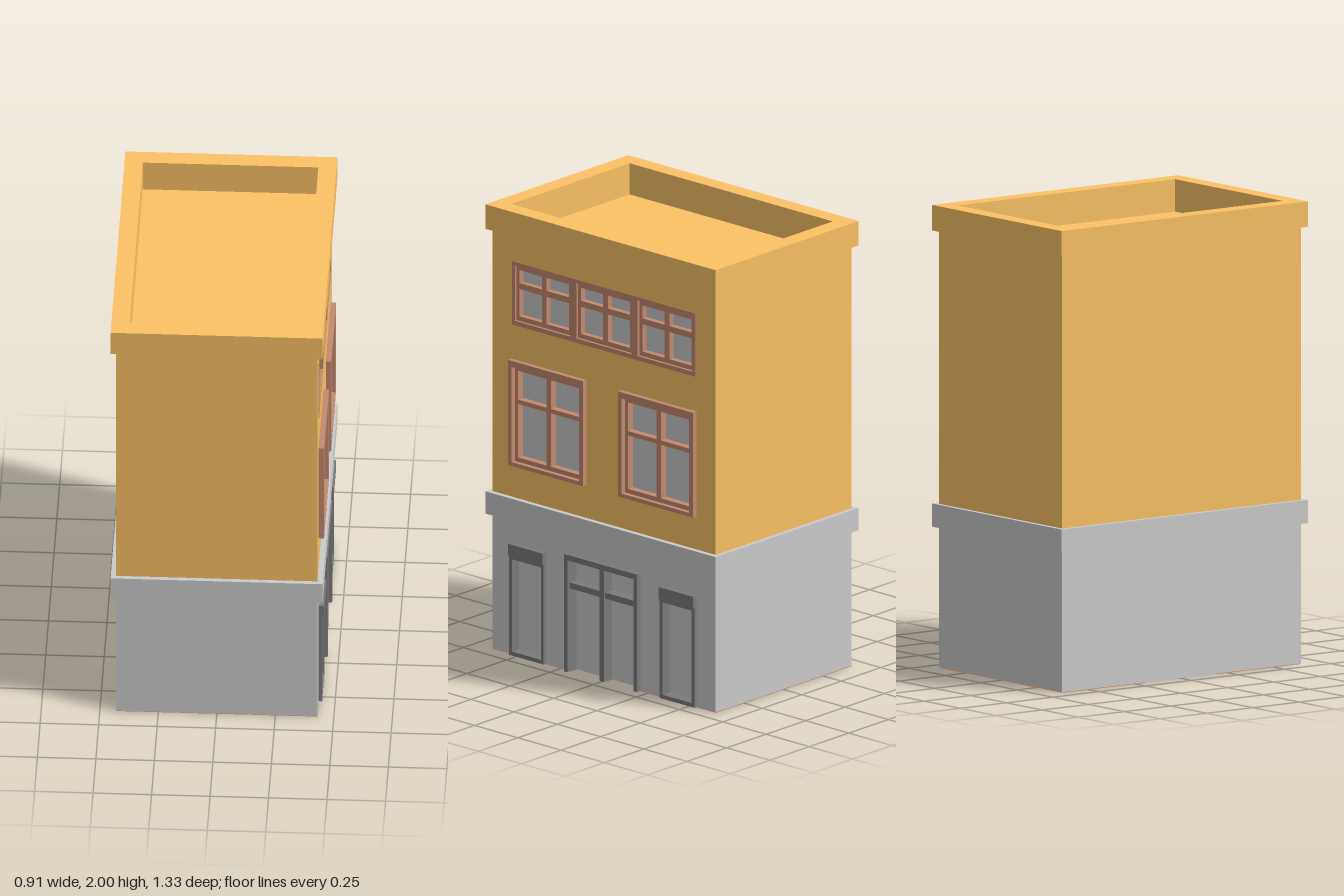
import * as THREE from 'three';

const mat = (color) => new THREE.MeshStandardMaterial({ color, side: THREE.DoubleSide, flatShading: true });
const yellow = mat(0xfbc265), grey = mat(0xcccccc), dark = mat(0x7c7c7c);
const brown = mat(0xc58b70), floorBrown = mat(0xb5683f);

// Rectangles are [z0, z1, y0, y1] on the street side
const corners = ([a, b, c, d]) => [[a, c], [b, c], [b, d], [a, d]];
const toPoints = (list) => list.map(([z, y]) => new THREE.Vector2(-z, y));

export function createModel() {
  const building = new THREE.Group();
  building.name = 'building';

  const add = (parent, name, geometry, material) => {
    const mesh = new THREE.Mesh(geometry, material);
    mesh.name = name;
    parent.add(mesh);
    return mesh;
  };
  const group = (name) => {
    const g = new THREE.Group();
    g.name = name;
    building.add(g);
    return g;
  };
  const box = (parent, name, material, x0, x1, y0, y1, z0, z1) => {
    const mesh = add(parent, name, new THREE.BoxGeometry(x1 - x0, y1 - y0, z1 - z0), material);
    mesh.position.set((x0 + x1) / 2, (y0 + y1) / 2, (z0 + z1) / 2);
  };
  // Slab parallel to the street side, pierced by rectangular holes
  const panel = (parent, name, material, outline, holes, x0, x1) => {
    const shape = new THREE.Shape(toPoints(outline));
    for (const h of holes) shape.holes.push(new THREE.Path(toPoints(corners(h))));
    const geometry = new THREE.ExtrudeGeometry(shape, { depth: x1 - x0, bevelEnabled: false });
    geometry.rotateY(Math.PI / 2);
    geometry.translate(x0, 0, 0);
    add(parent, name, geometry, material);
  };
  const pane = (parent, name, [z0, z1, y0, y1], x) => {
    const mesh = add(parent, name, new THREE.PlaneGeometry(z1 - z0, y1 - y0), grey);
    mesh.rotation.y = Math.PI / 2;
    mesh.position.set(x, (y0 + y1) / 2, (z0 + z1) / 2);
  };

  const W = 0.43, D = 0.645, E = 0.002;
  const bandOpening = [-0.53, 0.53, 1.485, 1.77];
  const windowOpening = (s) => [s * 0.318 - 0.217, s * 0.318 + 0.217, 0.858, 1.33];
  const shopOpening = (s) => [s * 0.435 - 0.1, s * 0.435 + 0.1, 0.006, 0.503];

  // Ground floor walls, with a notch for the entrance
  const ground = group('groundFloor');
  box(ground, 'backWall', grey, -W, -W + 0.005, E, 0.61, -D, D);
  for (const s of [-1, 1]) {
    const z = [s * D, s * (D - 0.005)].sort((a, b) => a - b);
    box(ground, 'sideWall', grey, -W + 0.005, W - 0.045, E, 0.61, ...z);
  }
  panel(ground, 'shopFacade', grey,
    [[-D, E], [-0.21, E], [-0.21, 0.53], [0.21, 0.53], [0.21, E], [D, E], [D, 0.61], [-D, 0.61]],
    [shopOpening(-1), shopOpening(1)], W - 0.045, W);
  box(ground, 'beltCourse', grey, -0.453, 0.453, 0.61, 0.71, -0.665, 0.665);

  // Underside, left open between the door posts
  for (const [z0, z1] of [[-D, -0.19], [-0.014, 0.014], [0.19, D]]) {
    const f = add(ground, 'floor', new THREE.PlaneGeometry(2 * W, z1 - z0), floorBrown);
    f.rotation.x = Math.PI / 2;
    f.position.z = (z0 + z1) / 2;
  }

  // Upper storeys
  const upper = group('upperStoreys');
  box(upper, 'backWall', yellow, -W, -0.375, 0.71, 1.89, -D, D);
  box(upper, 'sideWall', yellow, -0.375, 0.375, 0.71, 1.89, -D, -0.587);
  box(upper, 'sideWall', yellow, -0.375, 0.375, 0.71, 1.89, 0.587, D);
  panel(upper, 'facade', yellow, corners([-D, D, 0.71, 1.89]),
    [bandOpening, windowOpening(-1), windowOpening(1)], 0.375, W);
  box(upper, 'roof', yellow, -0.375, 0.375, 1.84, 1.86, -0.587, 0.587);

  // Parapet ring
  const rect = (w, d) => [[-w, -d], [w, -d], [w, d], [-w, d]].map(([x, z]) => new THREE.Vector2(x, z));
  const ring = new THREE.Shape(rect(0.453, 0.665));
  ring.holes.push(new THREE.Path(rect(0.375, 0.587)));
  const parapet = new THREE.ExtrudeGeometry(ring, { depth: 0.11, bevelEnabled: false });
  parapet.rotateX(-Math.PI / 2);
  parapet.translate(0, 1.89, 0);
  add(upper, 'parapet', parapet, yellow);

  // Row of three top windows in one flush surround
  const top = group('topWindows');
  const lights = [-0.355, 0, 0.355].map((c) => [c - 0.159, c + 0.159, 1.505, 1.754]);
  panel(top, 'surround', brown, corners(bandOpening), lights, 0.38, W + E);
  for (const light of lights) {
    const c = (light[0] + light[1]) / 2;
    const holes = [];
    for (const [a, b] of [[-0.142, -0.014], [0.014, 0.142]])
      for (const [y0, y1] of [[1.526, 1.648], [1.675, 1.733]]) holes.push([c + a, c + b, y0, y1]);
    panel(top, 'sash', brown, corners(light), holes, 0.38, 0.42);
    pane(top, 'glass', light, 0.395);
  }

  for (const s of [-1, 1]) {
    // Large middle window
    const win = group('middleWindow');
    const c = s * 0.318;
    const sash = [c - 0.195, c + 0.195, 0.875, 1.302];
    panel(win, 'casing', brown, corners(windowOpening(s)), [sash], 0.38, 0.453);
    const holes = [];
    for (const [a, b] of [[-0.178, -0.012], [0.012, 0.178]])
      for (const [y0, y1] of [[0.895, 1.135], [1.155, 1.284]]) holes.push([c + a, c + b, y0, y1]);
    panel(win, 'sash', brown, corners(sash), holes, 0.38, 0.432);
    pane(win, 'glass', sash, 0.4);

    // Narrow shop window
    const shop = group('shopWindow');
    const k = s * 0.435;
    const glass = [k - 0.083, k + 0.083, 0.02, 0.435];
    panel(shop, 'frame', dark, corners([k - 0.1, k + 0.1, E, 0.45]), [glass], 0.386, 0.445);
    box(shop, 'head', dark, 0.386, 0.453, 0.45, 0.503, k - 0.1, k + 0.1);
    pane(shop, 'glass', glass, 0.4);
  }

  // Double entrance door with transom lights
  const door = group('entrance');
  panel(door, 'doorFrame', dark,
    [[-0.21, E], [-0.19, E], [-0.19, 0.505], [0.19, 0.505], [0.19, E], [0.21, E], [0.21, 0.53], [-0.21, 0.53]],
    [], 0.386, 0.453);
  box(door, 'centrePost', dark, 0.386, 0.445, E, 0.505, -0.014, 0.014);
  for (const s of [-1, 1]) {
    const [z0, z1] = s < 0 ? [-0.19, -0.014] : [0.014, 0.19];
    box(door, 'transomBar', dark, 0.386, 0.44, 0.376, 0.403, z0, z1);
    pane(door, 'doorLeaf', [z0, z1, E, 0.376], 0.395);
    pane(door, 'transomLight', [z0, z1, 0.403, 0.505], 0.395);
  }
  return building;
}
